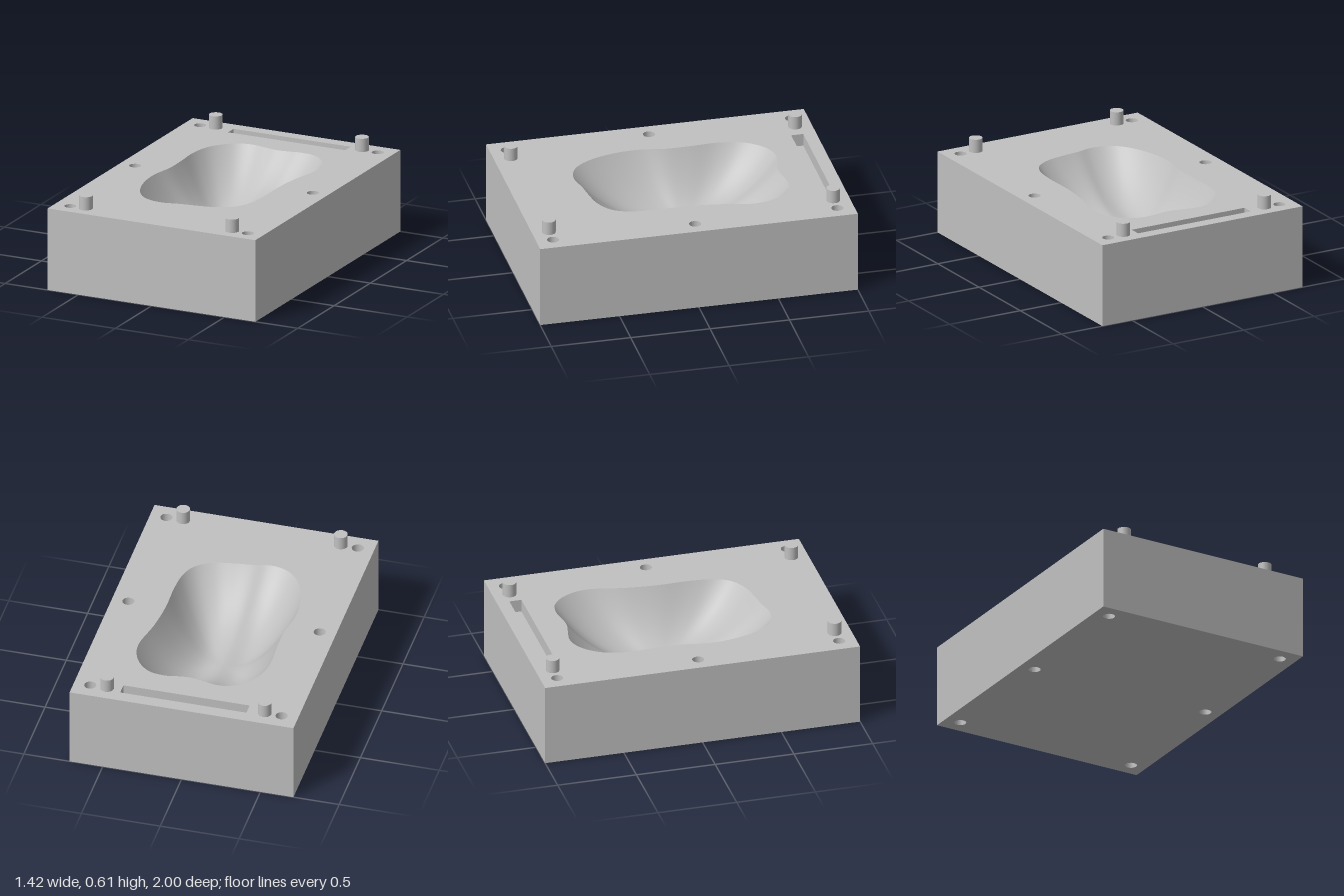
import * as THREE from 'three';

const W = 1.42, L = 2, H = 0.525;
const HOLE_R = 0.037, PIN_R = 0.042;
const SLOT = { x: 0.01, z: -0.882, w: 0.8, l: 0.076, depth: 0.08 };

// Outline of the cavity mouth as (x, z)
const RIM = [
  [-0.16, -0.692], [-0.26, -0.66], [-0.36, -0.55], [-0.4, -0.4], [-0.395, -0.2], [-0.397, -0.05],
  [-0.422, 0.1], [-0.415, 0.25], [-0.37, 0.41], [-0.3, 0.52], [-0.22, 0.57], [-0.13, 0.582],
  [-0.03, 0.56], [0.08, 0.545], [0.2, 0.52], [0.3, 0.46], [0.35, 0.37], [0.37, 0.22],
  [0.37, 0], [0.39, -0.2], [0.43, -0.4], [0.42, -0.5], [0.37, -0.6], [0.29, -0.665],
  [0.19, -0.68], [0.1, -0.665], [0.03, -0.66], [-0.05, -0.675],
];

// Box with only the chosen faces kept (order: +x, -x, +y, -y, +z, -z)
function openBox(w, h, l, faces) {
  const g = new THREE.BoxGeometry(w, h, l);
  const all = Array.from(g.index.array);
  g.setIndex(faces.flatMap((f) => all.slice(f * 6, f * 6 + 6)));
  g.clearGroups();
  return g;
}

// Smooth bowl shrinking from the rim to a centre, with a soft lengthwise ridge
function cavityGeometry(rim) {
  const n = rim.length, rings = 28, cx = -0.01, cz = -0.08, depth = 0.34;
  const pos = [], idx = [];
  for (let r = 0; r <= rings; r++) {
    const t = Math.sin((r / rings) * Math.PI / 2);
    for (const p of rim) {
      const x = cx + (p.x - cx) * t, z = cz + (p.y - cz) * t;
      const ridge = 0.03 * Math.exp(-(((x + 0.02) / 0.1) ** 2)) * (1 - t * t);
      pos.push(x, H - depth * (1 - t ** 2.3) + ridge, z);
    }
  }
  for (let r = 0; r < rings; r++) {
    for (let i = 0; i < n; i++) {
      const j = (i + 1) % n, a = r * n + i, b = r * n + j;
      if (r > 0) idx.push(a, b + n, b);
      idx.push(a, a + n, b + n);
    }
  }
  const g = new THREE.BufferGeometry();
  g.setAttribute('position', new THREE.Float32BufferAttribute(pos, 3));
  g.setIndex(idx);
  g.computeVertexNormals();
  return g;
}

export function createModel() {
  const group = new THREE.Group();
  const grey = new THREE.MeshStandardMaterial({ color: 0xc0c0c0, side: THREE.DoubleSide });
  grey.name = 'grey';
  const add = (name, geometry, x = 0, y = 0, z = 0) => {
    const m = new THREE.Mesh(geometry, grey);
    m.name = name;
    m.position.set(x, y, z);
    group.add(m);
  };

  const holes = [-0.607, 0.607].flatMap((x) => [-0.895, 0, 0.895].map((z) => [x, z]));
  const curve = new THREE.CatmullRomCurve3(RIM.map(([x, z]) => new THREE.Vector3(x, z, 0)), true);
  const rim = curve.getPoints(140).slice(0, -1);

  // Plate outline with the six through holes
  const rect = (w, l, x = 0, y = 0) => [[-1, -1], [1, -1], [1, 1], [-1, 1]]
    .map(([a, b]) => new THREE.Vector2(x + a * w / 2, y + b * l / 2));
  const plate = () => {
    const s = new THREE.Shape(rect(W, L));
    for (const [x, z] of holes) s.holes.push(new THREE.Path().absarc(x, z, HOLE_R, 0, Math.PI * 2));
    return s;
  };

  // Block: top face also opens onto the slot and the cavity
  const top = plate();
  top.holes.push(new THREE.Path(rect(SLOT.w, SLOT.l, SLOT.x, -SLOT.z)));
  top.holes.push(new THREE.Path(rim.map((p) => new THREE.Vector2(p.x, -p.y))));
  add('blockTop', new THREE.ShapeGeometry(top, 16).rotateX(-Math.PI / 2), 0, H, 0);
  add('blockBottom', new THREE.ShapeGeometry(plate(), 16).rotateX(Math.PI / 2));
  add('blockSides', openBox(W, H, L, [0, 1, 4, 5]), 0, H / 2, 0);

  // Moulded cavity
  add('cavity', cavityGeometry(rim));

  // Slot: walls and floor, turned to face inwards
  const slot = openBox(SLOT.w, SLOT.depth, SLOT.l, [0, 1, 3, 4, 5]);
  slot.index.array.reverse();
  slot.attributes.normal.array.forEach((v, i, a) => { a[i] = -v; });
  add('slot', slot, SLOT.x, H - SLOT.depth / 2, SLOT.z);

  // Bolt hole walls, facing inwards
  for (const [x, z] of holes) {
    const g = new THREE.CylinderGeometry(HOLE_R, HOLE_R, H, 32, 1, true);
    g.index.array.reverse();
    g.attributes.normal.array.forEach((v, i, a) => { a[i] = -v; });
    add('boltHole', g, x, H / 2, z);
  }

  // Locating pins
  for (const x of [-0.5, 0.5]) {
    for (const z of [-0.895, 0.895]) {
      add('locatingPin', new THREE.CylinderGeometry(PIN_R, PIN_R, 0.085, 32), x, H + 0.0425, z);
    }
  }
  return group;
}
